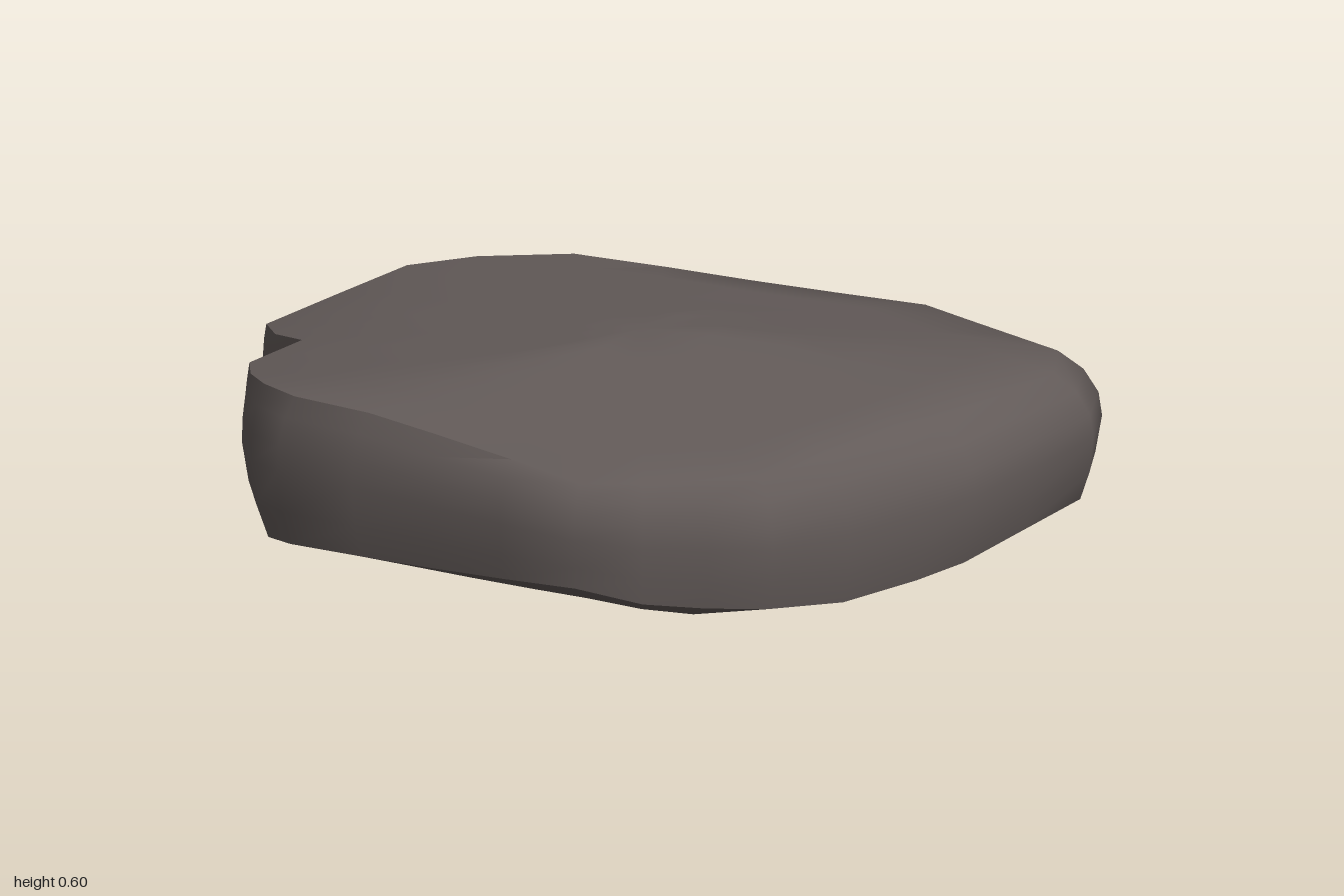
import * as THREE from 'three';
import { toCreasedNormals } from 'three/addons/utils/BufferGeometryUtils.js';

// Plan of the slab at its widest: x, z, inset of the top rim, inset of the bottom rim
const corners = [
  [-1, -0.11, 0.01, 0.08], [-0.79, -0.40, 0.02, 0.07], [-0.65, -0.47, 0.03, 0.06],
  [0.5, -0.66, 0.10, 0.06], [0.95, -0.44, 0.10, 0.05], [1, -0.29, 0.09, 0.03],
  [0.9, 0.12, 0.09, 0.03], [0.83, 0.23, 0.08, 0.03], [0.58, 0.51, 0.07, 0.02],
  [0.3, 0.61, 0.05, 0.01], [0.15, 0.655, 0.05, 0.01], [-0.68, 0.48, 0.04, 0.03],
  [-0.79, 0.39, 0.03, 0.04], [-0.86, 0.29, 0.02, 0.05], [-0.9, 0.19, 0.01, 0.06],
  [-0.81, 0.08, 0.0, 0.02], [-0.93, -0.01, 0.01, 0.06],
];

// Top face: sloping planes that meet in a low ridge
const topHeight = (x, z) => Math.min(
  0.6, 0.585 + 0.173 * x, 0.45 + 0.36 * (x + 0.78), 0.6 - 0.1 * (x - 0.3),
  0.6 - 0.22 * (z + 0.04), 0.6 + 0.18 * (z + 0.04));

// Underside: a shallow keel rising to every side
const bottomHeight = (x, z) => Math.max(
  0, 0.235 * (x + 0.03) + 1.2 * Math.max(0, z - 0.3) ** 2, -0.2 * z,
  z > 0 ? 0.52 * z * z : 0, 0.01 + 0.11 * (-x - 0.29), 0.05 + 0.28 * (-x - 0.66));

// Split the long straight edges
function splitOutline(points) {
  const out = [];
  points.forEach((p, i) => {
    const q = points[(i + 1) % points.length];
    const n = Math.ceil(Math.hypot(q[0] - p[0], q[1] - p[1]) / 0.25);
    for (let k = 0; k < n; k++) out.push(p.map((v, c) => v + (q[c] - v) * k / n));
  });
  return out;
}

function pullIn([x, z], d) {
  const s = 1 - d / Math.hypot(x, z);
  return [x * s, z * s];
}

function slabGeometry() {
  const outline = splitOutline(corners);
  const rings = [];
  const scales = [0, 0.2, 0.4, 0.6, 0.8];

  // Underside, from the middle outwards
  for (const s of scales) rings.push(outline.map((p) => {
    const [x, z] = pullIn(p, p[3]).map((v) => v * s);
    return [x, bottomHeight(x, z), z];
  }));

  // Rounded sides: height fraction, share of bottom inset, share of top inset
  for (const [f, b, a] of [[0, 1, 0], [0.22, 0.3, 0], [0.5, 0, 0], [0.68, 0, 0.08], [0.86, 0, 0.42], [1, 0, 1]]) {
    rings.push(outline.map((p) => {
      const low = bottomHeight(...pullIn(p, p[3]));
      const high = topHeight(...pullIn(p, p[2]));
      const [x, z] = pullIn(p, p[3] * b + p[2] * a);
      return [x, low + (high - low) * f, z];
    }));
  }

  // Top face, from the rim to the middle
  for (const s of scales.slice().reverse()) rings.push(outline.map((p) => {
    const [x, z] = pullIn(p, p[2]).map((v) => v * s);
    return [x, topHeight(x, z), z];
  }));

  const n = outline.length, last = rings.length - 2;
  const index = [];
  for (let k = 0; k <= last; k++) for (let j = 0; j < n; j++) {
    const a = k * n + j, b = k * n + (j + 1) % n, c = a + n, d = b + n;
    if (k > 0) index.push(a, c, b);
    if (k < last) index.push(b, c, d);
    // the fans at both middles
  }
  const geometry = new THREE.BufferGeometry();
  geometry.setAttribute('position', new THREE.Float32BufferAttribute(rings.flat(2), 3));
  geometry.setIndex(index);
  return toCreasedNormals(geometry, 0.8);
}

export function createModel() {
  const stone = new THREE.MeshStandardMaterial({ color: 0x635b59 });
  stone.name = 'darkStone';
  const slab = new THREE.Mesh(slabGeometry(), stone);
  slab.name = 'rockSlab';
  const group = new THREE.Group();
  group.name = 'rock';
  group.add(slab);
  return group;
}
